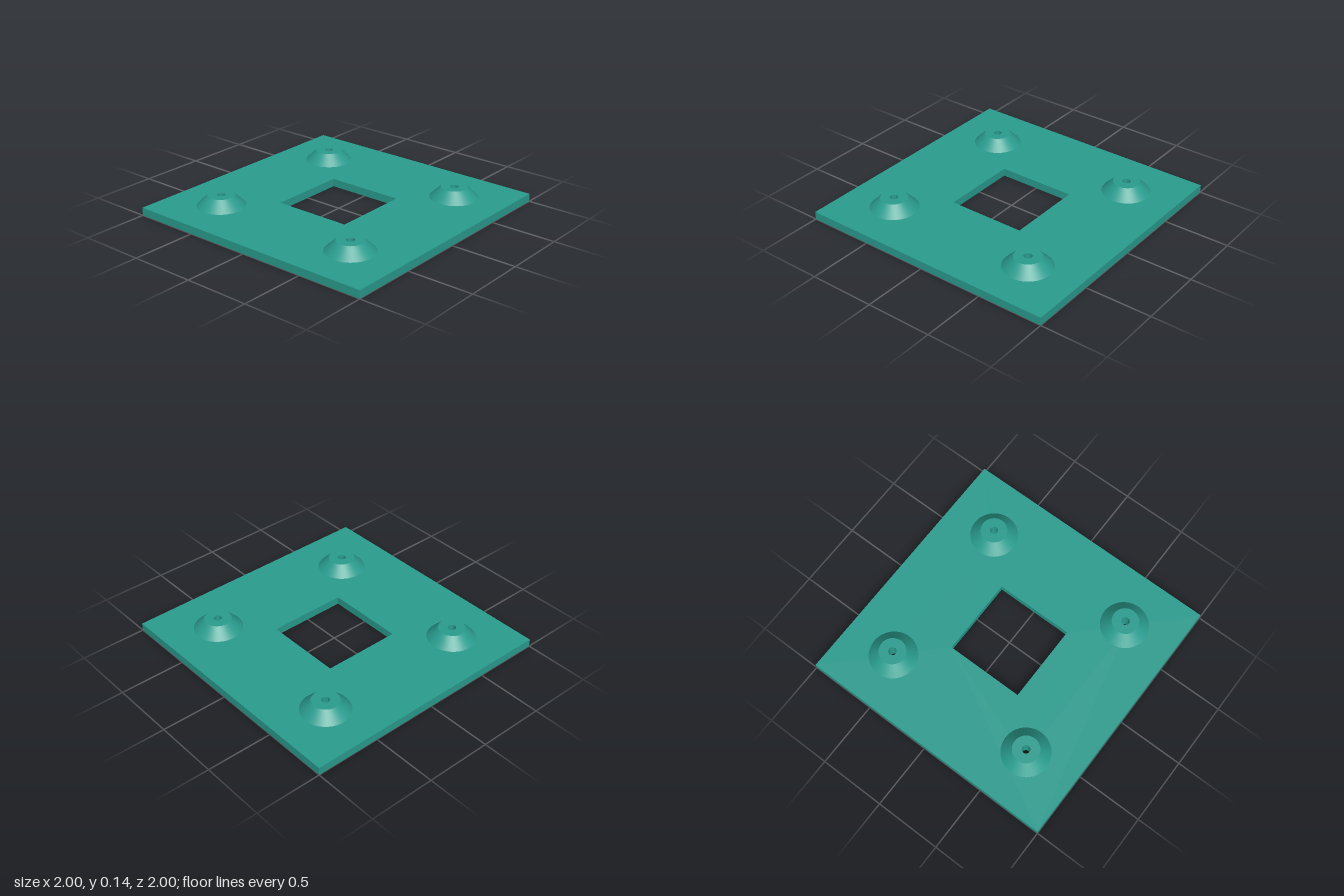
import * as THREE from 'three';
import { toCreasedNormals } from 'three/addons/utils/BufferGeometryUtils.js';

const PLATE_TOP = 0.06;
const BOSS_TOP = 0.14;
const BORE = 0.03;
const OFFSET = 0.6;
const CREASE = Math.PI / 6;

// Centred square outline
function traceSquare(path, half) {
  path.moveTo(-half, -half);
  path.lineTo(half, -half);
  path.lineTo(half, half);
  path.lineTo(-half, half);
  path.closePath();
  return path;
}

export function createModel() {
  const model = new THREE.Group();
  model.name = 'mountingPlate';

  const teal = new THREE.MeshStandardMaterial({ color: 0x2a9d8f });
  teal.name = 'teal';

  const corners = [-OFFSET, OFFSET].flatMap((x) => [-OFFSET, OFFSET].map((z) => [x, z]));

  // Flat plate with a square window and four screw holes
  const outline = traceSquare(new THREE.Shape(), 1);
  outline.holes.push(traceSquare(new THREE.Path(), 0.3));
  for (const [x, z] of corners) {
    outline.holes.push(new THREE.Path().absarc(x, z, BORE, 0, Math.PI * 2, true));
  }
  const plateGeometry = new THREE.ExtrudeGeometry(outline, {
    depth: PLATE_TOP, bevelEnabled: false, curveSegments: 24,
  });
  plateGeometry.rotateX(-Math.PI / 2);
  const plate = new THREE.Mesh(toCreasedNormals(plateGeometry, CREASE), teal);
  plate.name = 'plate';
  model.add(plate);

  // Conical bosses, bored through to meet the screw holes
  const profile = [
    [0.18, PLATE_TOP], [0.1, BOSS_TOP], [BORE, BOSS_TOP], [BORE, PLATE_TOP],
  ].map(([r, y]) => new THREE.Vector2(r, y));
  const bossGeometry = toCreasedNormals(new THREE.LatheGeometry(profile, 48), CREASE);
  corners.forEach(([x, z]) => {
    const boss = new THREE.Mesh(bossGeometry, teal);
    boss.name = `${z > 0 ? 'front' : 'back'}${x > 0 ? 'Left' : 'Right'}Boss`;
    boss.position.set(x, 0, z);
    model.add(boss);
  });

  return model;
}
